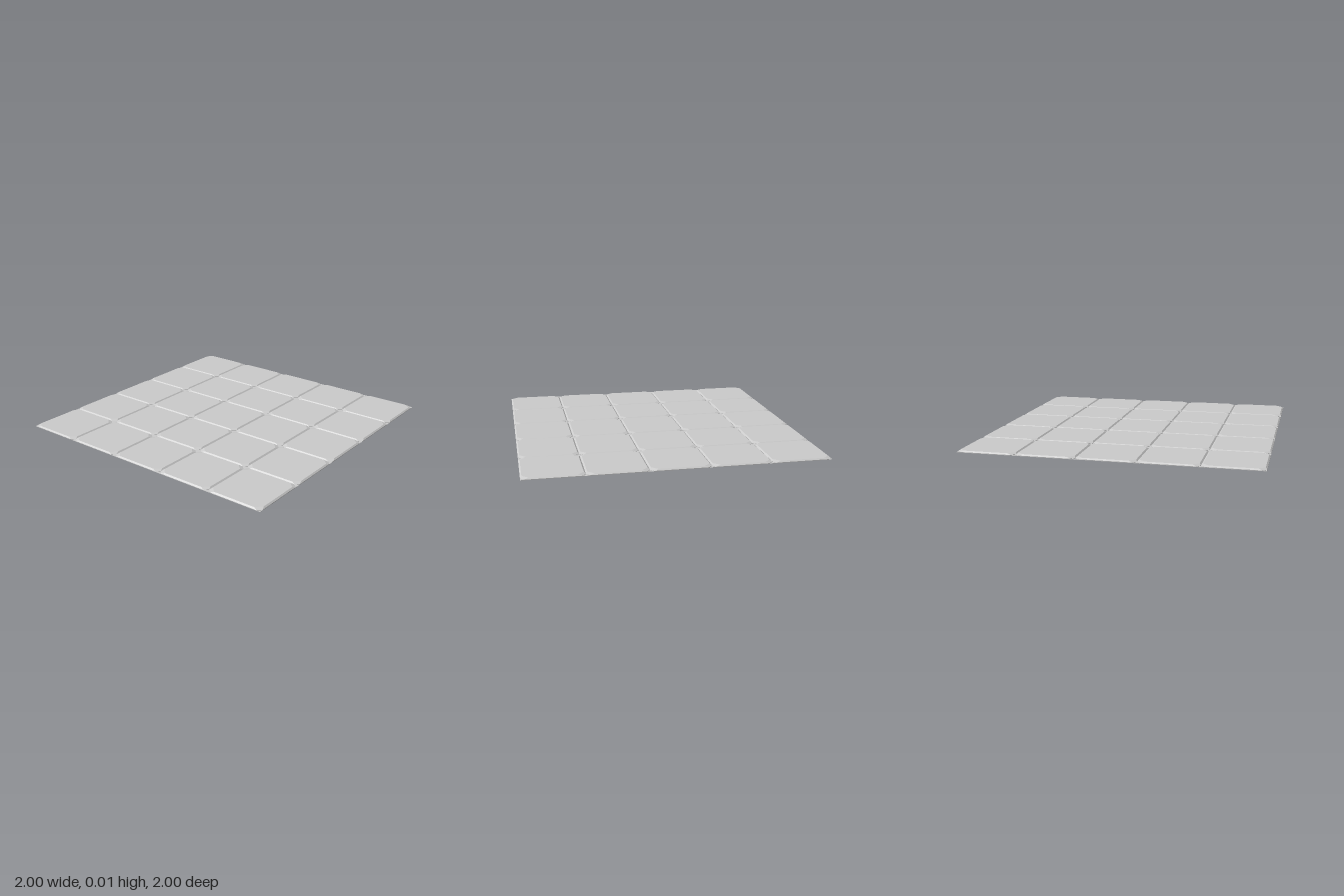
import * as THREE from 'three';

const COUNT = 5, PITCH = 0.4, BASE = 0.002, HEIGHT = 0.012;

// Square with cut corners at height y, counter-clockwise seen from above
function cutSquare(half, cut, y) {
  const k = half - cut;
  return [[half, -k], [half, k], [k, half], [-k, half], [-half, k], [-half, -k], [-k, -half], [k, -half]]
    .map(([x, v]) => [x, y, -v]);
}

// Stacks rings into walls and closes the top with a fan
function tileGeometry(rings) {
  const pos = [];
  const tri = (a, b, c) => pos.push(...a, ...b, ...c);
  const n = rings[0].length;
  for (let r = 0; r < rings.length - 1; r++) {
    for (let i = 0; i < n; i++) {
      const j = (i + 1) % n, lo = rings[r], hi = rings[r + 1];
      tri(lo[i], lo[j], hi[j]);
      tri(lo[i], hi[j], hi[i]);
    }
  }
  const top = rings[rings.length - 1];
  for (let i = 1; i < n - 1; i++) tri(top[0], top[i], top[i + 1]);
  const geo = new THREE.BufferGeometry();
  geo.setAttribute('position', new THREE.Float32BufferAttribute(pos, 3));
  geo.computeVertexNormals();
  return geo;
}

export function createModel() {
  const model = new THREE.Group();
  model.name = 'tiledFloor';
  const material = new THREE.MeshStandardMaterial({ color: 0xcccccc, flatShading: true });

  // Thin plate under the tiles, visible as the small diamonds at the crossings
  const plate = new THREE.Mesh(new THREE.BoxGeometry(COUNT * PITCH, BASE, COUNT * PITCH), material);
  plate.name = 'basePlate';
  plate.position.y = BASE / 2;
  model.add(plate);

  // Bevelled tiles with cut corners
  const geo = tileGeometry([
    cutSquare(PITCH / 2, 0.025, BASE),
    cutSquare(PITCH / 2, 0.025, 0.004),
    cutSquare(PITCH / 2 - 0.01, 0.04, HEIGHT),
  ]);
  const tiles = new THREE.Group();
  tiles.name = 'tiles';
  const mid = (COUNT - 1) / 2;
  for (let i = 0; i < COUNT; i++) {
    for (let j = 0; j < COUNT; j++) {
      const tile = new THREE.Mesh(geo, material);
      tile.name = 'tile';
      tile.position.set((i - mid) * PITCH, 0, (j - mid) * PITCH);
      tiles.add(tile);
    }
  }
  model.add(tiles);
  return model;
}
